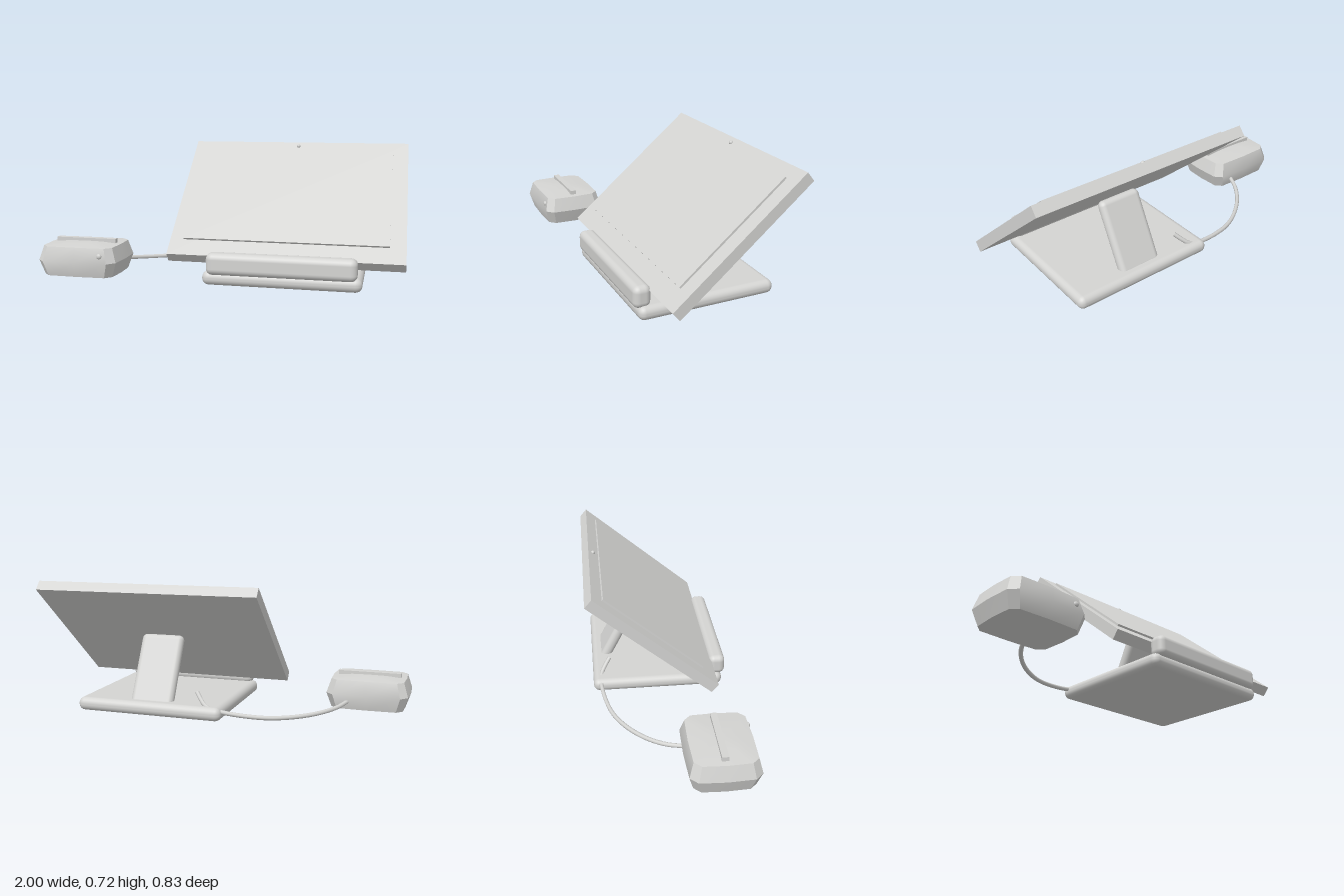
import * as THREE from 'three';
import { toCreasedNormals } from 'three/addons/utils/BufferGeometryUtils.js';
import { RoundedBoxGeometry } from 'three/addons/geometries/RoundedBoxGeometry.js';

const shell = new THREE.MeshStandardMaterial({ color: 0xd4d4d2 });
shell.name = 'light grey shell';

function part(parent, name, geometry, x = 0, y = 0, z = 0) {
  const mesh = new THREE.Mesh(geometry, shell);
  mesh.name = name;
  mesh.position.set(x, y, z);
  parent.add(mesh);
  return mesh;
}

// Octagonal outline with slightly bowed sides, half sizes hx and hz
function outline(hx, hz) {
  const cut = Math.min(hx, hz) * 0.25, bow = 0.05;
  const quarter = [
    [hx, 0], [hx * (1 - bow * 0.6), hz - cut], [hx - cut, hz * (1 - bow * 0.6)], [0, hz],
  ];
  const flip = ([x, z]) => [-x, z];
  const half = [...quarter, ...quarter.slice(0, 3).reverse().map(flip)];
  return [...half, ...half.slice(1, -1).reverse().map(([x, z]) => [x, -z])];
}

// Lofts stacked [y, hx, hz] sections; a section of zero size closes an end
function loft(sections, crease) {
  const rings = sections.map(([y, hx, hz]) => outline(hx, hz).map(([x, z]) => [x, y, z]));
  const n = rings[0].length, pos = [];
  for (let j = 0; j < rings.length - 1; j++) {
    for (let i = 0; i < n; i++) {
      const k = (i + 1) % n;
      const a = rings[j][i], b = rings[j][k], c = rings[j + 1][i], d = rings[j + 1][k];
      if (sections[j][1] > 0) pos.push(...a, ...c, ...b);
      if (sections[j + 1][1] > 0) pos.push(...b, ...c, ...d);
    }
  }
  const geometry = new THREE.BufferGeometry();
  geometry.setAttribute('position', new THREE.Float32BufferAttribute(pos, 3));
  return toCreasedNormals(geometry, crease);
}

export function createModel() {
  const model = new THREE.Group();
  model.name = 'tabletTerminal';

  // Tilted display with raised glass and camera
  const display = new THREE.Group();
  display.name = 'display';
  display.position.set(0.365, 0.415, -0.052);
  display.rotation.x = THREE.MathUtils.degToRad(-50);
  model.add(display);
  part(display, 'displayBody', new THREE.BoxGeometry(1.27, 0.894, 0.06));
  part(display, 'screen', new THREE.BoxGeometry(1.11, 0.715, 0.02), -0.005, 0.018, 0.031);
  part(display, 'camera', new THREE.SphereGeometry(0.012, 12, 8), -0.005, 0.414, 0.031);

  // Stand: foot plate, front ledge and leaning rear support
  part(model, 'footPlate', new RoundedBoxGeometry(0.845, 0.075, 0.755, 3, 0.035), 0.362, 0.0385, -0.007);
  part(model, 'frontLedge', new RoundedBoxGeometry(0.795, 0.118, 0.094, 3, 0.034), 0.3625, 0.119, 0.343);
  const support = part(model, 'rearSupport',
    new RoundedBoxGeometry(0.25, 0.42, 0.062, 3, 0.03), 0.36, 0.225, -0.216);
  support.rotation.x = Math.atan2(0.16, 0.31);

  // Cable from the foot plate round to the reader
  const path = new THREE.CatmullRomCurve3([
    [0.1, 0.135, -0.285], [0.065, 0.1, -0.315], [0.03, 0.072, -0.335], [-0.06, 0.05, -0.34],
    [-0.27, 0.027, -0.3], [-0.4, 0.024, -0.24], [-0.53, 0.03, -0.14],
    [-0.62, 0.043, -0.03], [-0.67, 0.06, 0.08],
  ].map((p) => new THREE.Vector3(...p)));
  part(model, 'cable', new THREE.TubeGeometry(path, 48, 0.012, 8));

  // Faceted card reader with top slot bar and front button
  const reader = new THREE.Group();
  reader.name = 'cardReader';
  reader.position.set(-0.767, 0, 0.228);
  model.add(reader);
  part(reader, 'readerBody', loft([
    [0.008, 0, 0], [0.014, 0.205, 0.163], [0.097, 0.233, 0.187],
    [0.178, 0.207, 0.165], [0.188, 0.1, 0.08], [0.19, 0, 0],
  ], 0.62));
  part(reader, 'slotBar', new THREE.BoxGeometry(0.352, 0.03, 0.035), 0, 0.19, -0.007);
  const button = part(reader, 'button', new THREE.SphereGeometry(0.015, 12, 8), 0.143, 0.136, 0.172);
  button.scale.z = 0.7;

  return model;
}
